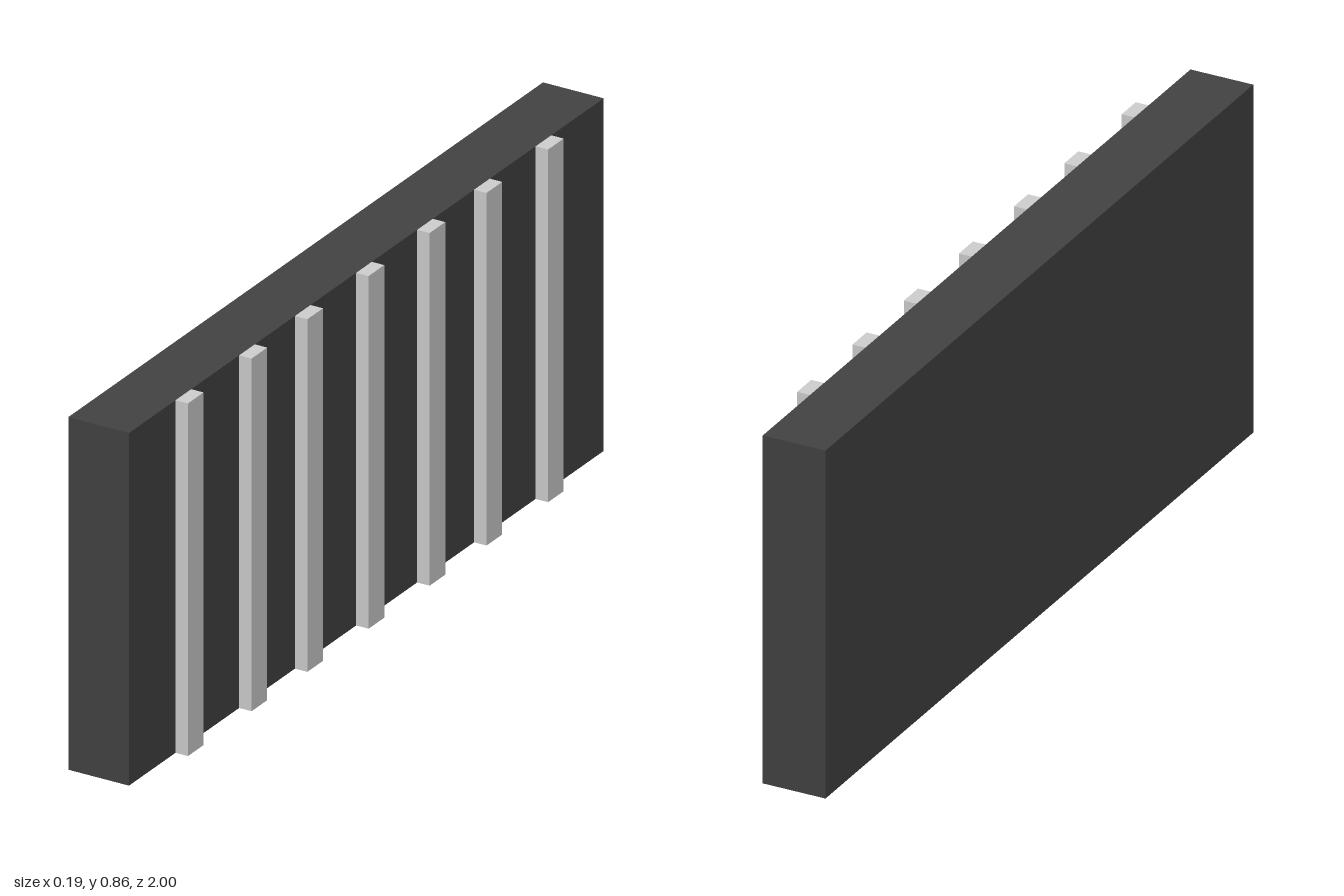
import * as THREE from 'three';

const HEIGHT = 0.857;
const BACK = -0.094, FACE = 0.062, RIB_FACE = 0.094;

// Upright box spanning x0..x1, centred on z, standing on the ground
function uprightBox(name, x0, x1, z, depth, material) {
  const mesh = new THREE.Mesh(new THREE.BoxGeometry(x1 - x0, HEIGHT, depth), material);
  mesh.position.set((x0 + x1) / 2, HEIGHT / 2, z);
  mesh.name = name;
  return mesh;
}

export function createModel() {
  const model = new THREE.Group();
  model.name = 'ribbedPanel';
  const dark = new THREE.MeshStandardMaterial({ color: 0x414141 });
  const grey = new THREE.MeshStandardMaterial({ color: 0xcccccc });

  // Dark slab
  model.add(uprightBox('panel', BACK, FACE, 0, 2, dark));

  // Vertical ribs on the +x face, slightly unevenly spaced
  const ribs = new THREE.Group();
  ribs.name = 'ribs';
  [0.771, 0.503, 0.268, 0.01, -0.247, -0.487, -0.746].forEach((z, i) => {
    ribs.add(uprightBox(`rib${i + 1}`, FACE, RIB_FACE, z, 0.066, grey));
  });
  model.add(ribs);
  return model;
}
